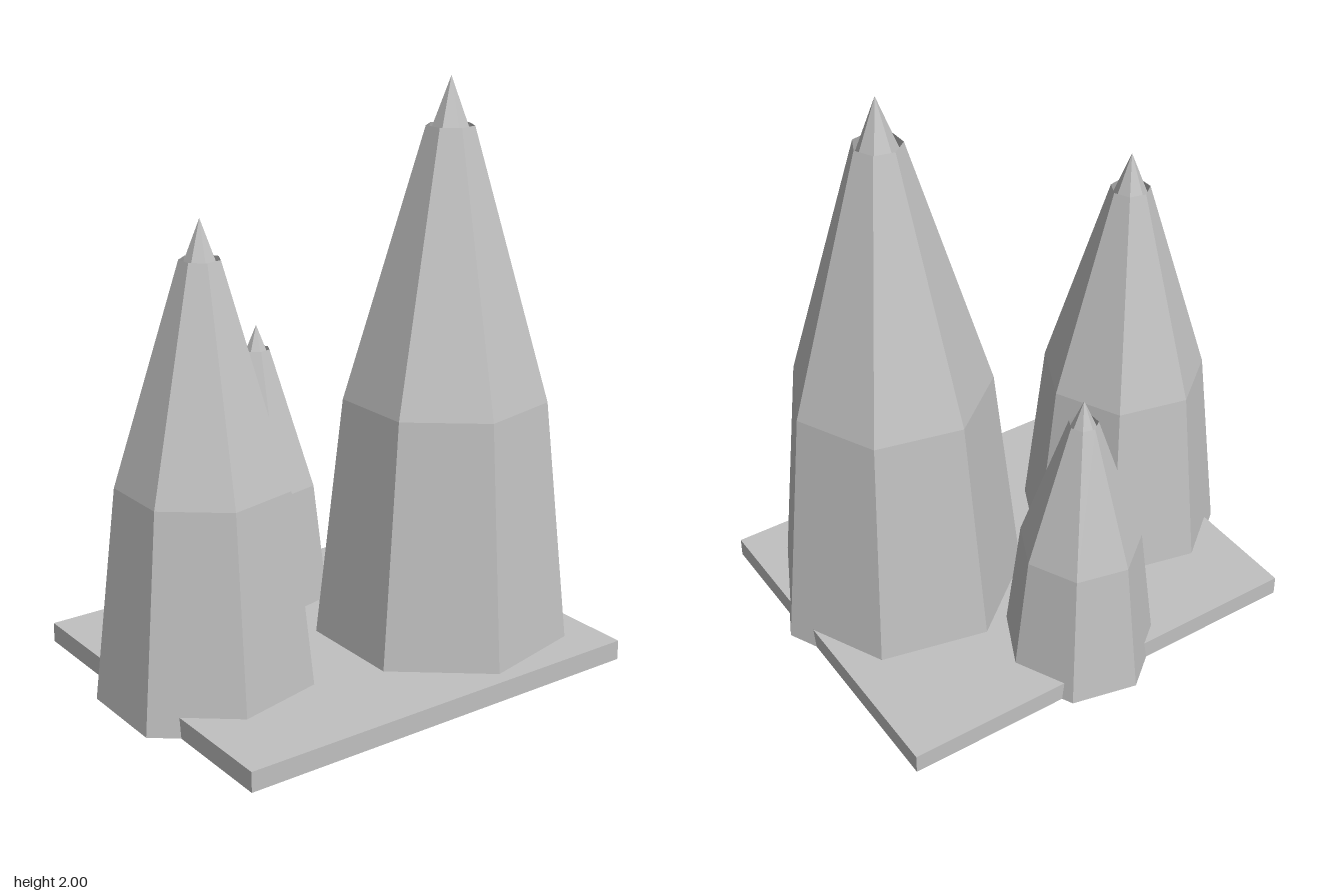
import * as THREE from 'three';

const SIDES = 7;

// Open-ended seven-sided tapered tube with a corner pointing to +x
function taper(name, topRadius, bottomRadius, y0, y1, material) {
  const geometry = new THREE.CylinderGeometry(
    topRadius, bottomRadius, y1 - y0, SIDES, 1, true, Math.PI / 2);
  const mesh = new THREE.Mesh(geometry, material);
  mesh.name = name;
  mesh.position.y = (y0 + y1) / 2;
  return mesh;
}

// Spire: steep lower wall, sloping upper wall, and a point set inside its open rim
function spire(name, x, z, radius, height, material) {
  const group = new THREE.Group();
  group.name = name;
  group.position.set(x, 0, z);
  const rim = height * 0.92;
  group.add(
    taper('lowerWall', radius * 0.78, radius, 0, rim / 2, material),
    taper('upperWall', radius * 0.182, radius * 0.78, rim / 2, rim, material),
    taper('tip', 0, radius * 0.2, height * 0.88, height, material));
  return group;
}

export function createModel() {
  const model = new THREE.Group();
  model.name = 'spireCluster';
  const stone = new THREE.MeshStandardMaterial({
    color: 0xc0c0c0, flatShading: true, side: THREE.DoubleSide });
  stone.name = 'stone grey';

  // Thin rectangular base slab
  const base = new THREE.Mesh(new THREE.BoxGeometry(1.526, 0.07, 1.272), stone);
  base.name = 'baseSlab';
  base.position.set(0.018, 0.035, 0.046);
  model.add(base);

  // Three spires, overhanging the slab edges
  model.add(
    spire('tallSpire', 0.377, 0.198, 0.453, 2.0, stone),
    spire('middleSpire', -0.495, 0.045, 0.375, 1.61, stone),
    spire('smallSpire', 0.015, -0.416, 0.271, 1.085, stone));
  return model;
}
